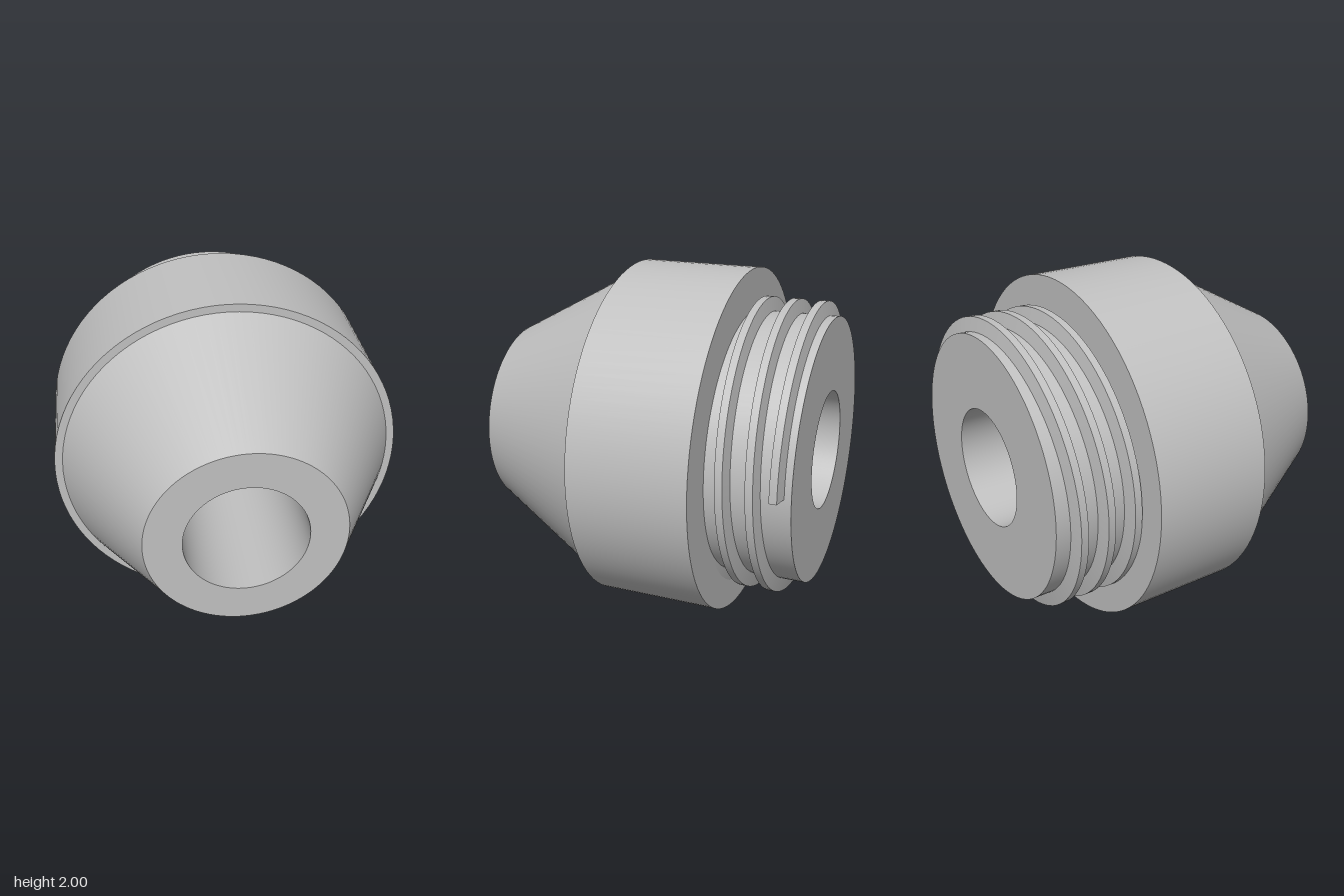
import * as THREE from 'three';
import { toCreasedNormals } from 'three/addons/utils/BufferGeometryUtils.js';

// Helical ridge around the z axis; turns are counted in quarters from the free end
function threadGeometry(quarters, stepsPerQuarter) {
  const section = [[0.74, -0.041], [0.84, -0.021], [0.84, 0.021], [0.74, 0.041]]; // radius, z offset
  const positions = [], index = [];
  const count = quarters * stepsPerQuarter;
  for (let i = 0; i <= count; i++) {
    const q = i / stepsPerQuarter, a = q * Math.PI / 2;
    // constant pitch, flattening out towards the free end
    const z = -0.907 + 0.0404 * q + 0.037 * Math.max(0, 1 - q / 1.5) ** 1.5;
    for (const [r, dz] of section) positions.push(r * Math.cos(a), r * Math.sin(a), z + dz);
    if (i === count) break;
    for (let j = 0; j < 3; j++) {
      const p = i * 4 + j, n = p + 4;
      index.push(p, n, n + 1, p, n + 1, p + 1);
    }
  }
  index.push(0, 1, 2, 0, 2, 3); // cap on the free end
  const geometry = new THREE.BufferGeometry();
  geometry.setAttribute('position', new THREE.Float32BufferAttribute(positions, 3));
  geometry.setIndex(index);
  return toCreasedNormals(geometry, 0.35);
}

export function createModel() {
  const model = new THREE.Group();
  model.name = 'threadedNozzle';
  const metal = new THREE.MeshStandardMaterial({ color: 0xc0c0c0 });
  metal.name = 'light grey';

  // Turned body: threaded neck, shoulder, cone and through bore
  const profile = [
    [0.34, -0.945], [0.76, -0.945], [0.76, -0.475], [1, -0.475], [1, 0.205],
    [0.955, 0.205], [0.55, 0.945], [0.34, 0.945], [0.34, -0.945],
  ].map(([r, z]) => new THREE.Vector2(r, z));
  const lathe = new THREE.LatheGeometry(profile, 96).rotateX(Math.PI / 2);
  const body = new THREE.Mesh(toCreasedNormals(lathe, 0.35), metal);
  body.name = 'body';

  // Screw thread, running into the shoulder
  const thread = new THREE.Mesh(threadGeometry(12, 24), metal);
  thread.name = 'screwThread';

  body.position.y = thread.position.y = 1;
  model.add(body, thread);
  return model;
}
